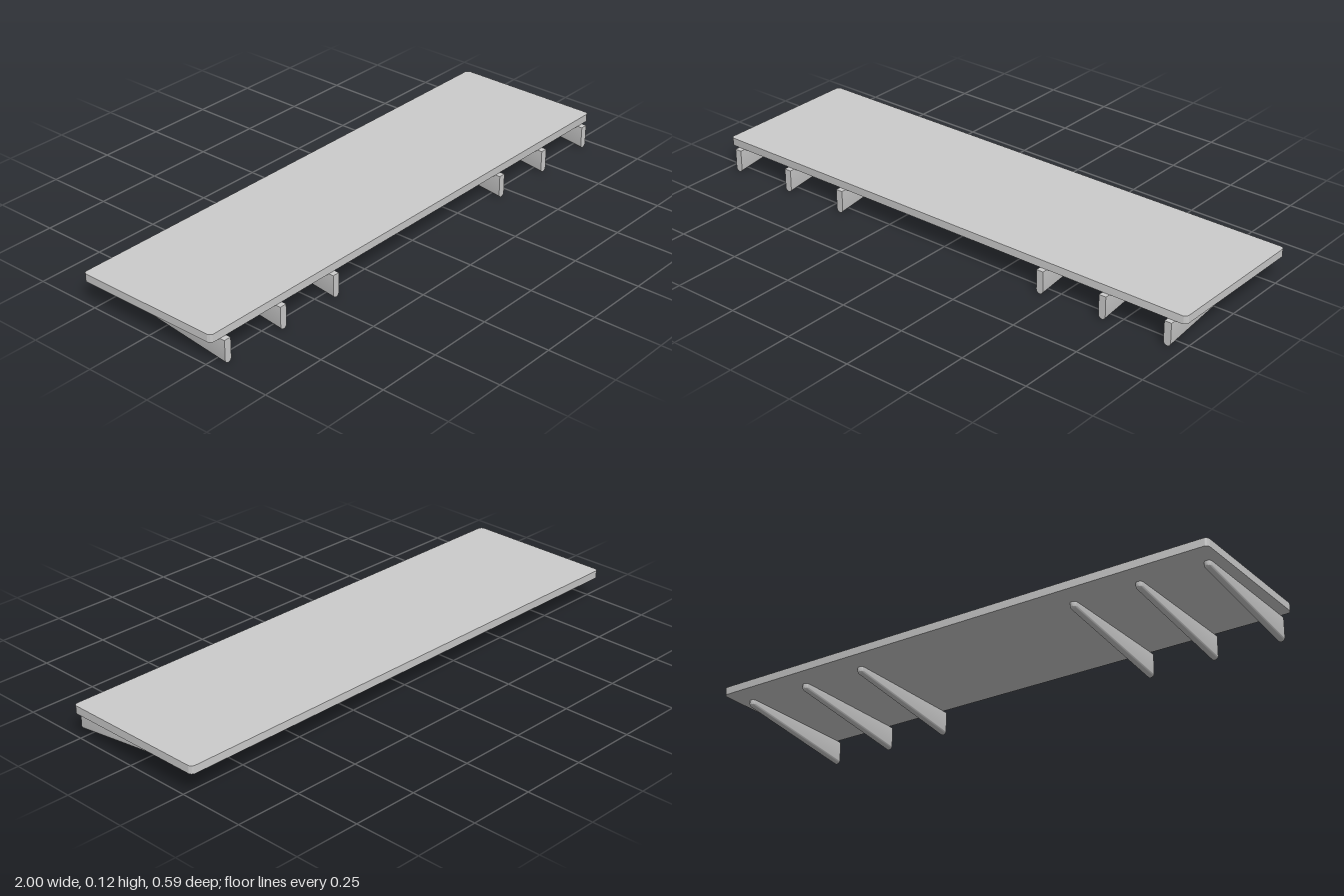
import * as THREE from 'three';
import { toCreasedNormals } from 'three/addons/utils/BufferGeometryUtils.js';

const TOP = 0.115, UNDER = 0.086;      // shelf board faces
const FRONT = 0.294, BACK = -0.294;    // overall depth
const BOARD_FRONT = 0.275;

// Flat board with rounded vertical corners
function boardGeometry() {
  const w = 1, r = 0.016, a = -BOARD_FRONT, b = -BACK; // shape y becomes -z
  const s = new THREE.Shape();
  s.moveTo(-w + r, a);
  s.lineTo(w - r, a);
  s.absarc(w - r, a + r, r, -Math.PI / 2, 0);
  s.lineTo(w, b - r);
  s.absarc(w - r, b - r, r, 0, Math.PI / 2);
  s.lineTo(-w + r, b);
  s.absarc(-w + r, b - r, r, Math.PI / 2, Math.PI);
  s.lineTo(-w, a + r);
  s.absarc(-w + r, a + r, r, Math.PI, Math.PI * 1.5);
  const g = new THREE.ExtrudeGeometry(s, { depth: TOP - UNDER, bevelEnabled: false, curveSegments: 8 });
  g.rotateX(-Math.PI / 2).translate(0, UNDER, 0);
  return toCreasedNormals(g, Math.PI / 5);
}

// Tapered bracket: U-shaped sections run along the sloping lower edge and round the back tip
function bracketGeometry() {
  const r = 0.0135, slope = 0.125, tilt = Math.atan(slope), arcN = 16, turnN = 8;
  const y0 = r / Math.cos(tilt), tipZ = -0.207 + r;
  const tipY = y0 + (FRONT - tipZ) * slope;

  // Each section: arc centre (z, y) and the direction the arc bulges
  const sections = [{ z: FRONT, y: y0, dz: 0, dy: -1 / Math.cos(tilt) }];
  for (let i = 0; i <= turnN; i++) {
    const t = THREE.MathUtils.lerp(tilt, Math.PI / 2, i / turnN);
    sections.push({ z: tipZ, y: tipY, dz: -Math.sin(t), dy: -Math.cos(t) });
  }
  sections.push({ z: tipZ, y: UNDER, dz: -1, dy: 0 });

  const pos = [], idx = [], n = arcN + 3;
  for (const s of sections) {
    pos.push(r, UNDER, s.z);
    for (let j = 0; j <= arcN; j++) {
      const a = Math.PI * j / arcN, k = r * Math.sin(a);
      pos.push(r * Math.cos(a), s.y + s.dy * k, s.z + s.dz * k);
    }
    pos.push(-r, UNDER, s.z);
  }
  for (let i = 0; i < sections.length - 1; i++) {
    for (let j = 0; j < n; j++) {
      const a = i * n + j, b = i * n + (j + 1) % n;
      idx.push(a, b, a + n, b, b + n, a + n);
    }
  }
  // Flat front face and the cap over the back tip
  const last = (sections.length - 1) * n;
  for (let j = 1; j < n - 1; j++) {
    idx.push(0, j + 1, j);
    idx.push(last, last + j, last + j + 1);
  }
  const g = new THREE.BufferGeometry();
  g.setAttribute('position', new THREE.Float32BufferAttribute(pos, 3));
  g.setIndex(idx);
  return toCreasedNormals(g, Math.PI / 5);
}

export function createModel() {
  const model = new THREE.Group();
  model.name = 'shelf';
  const material = new THREE.MeshStandardMaterial({ color: 0xcccccc });

  const board = new THREE.Mesh(boardGeometry(), material);
  board.name = 'shelfBoard';
  model.add(board);

  // Three brackets on each side
  const geometry = bracketGeometry();
  for (const [side, sign] of [['left', 1], ['right', -1]]) {
    const brackets = new THREE.Group();
    brackets.name = side + 'Brackets';
    [0.444, 0.695, 0.946].forEach((x, i) => {
      const bracket = new THREE.Mesh(geometry, material);
      bracket.name = side + 'Bracket' + (i + 1);
      bracket.position.x = sign * x;
      brackets.add(bracket);
    });
    model.add(brackets);
  }
  return model;
}
